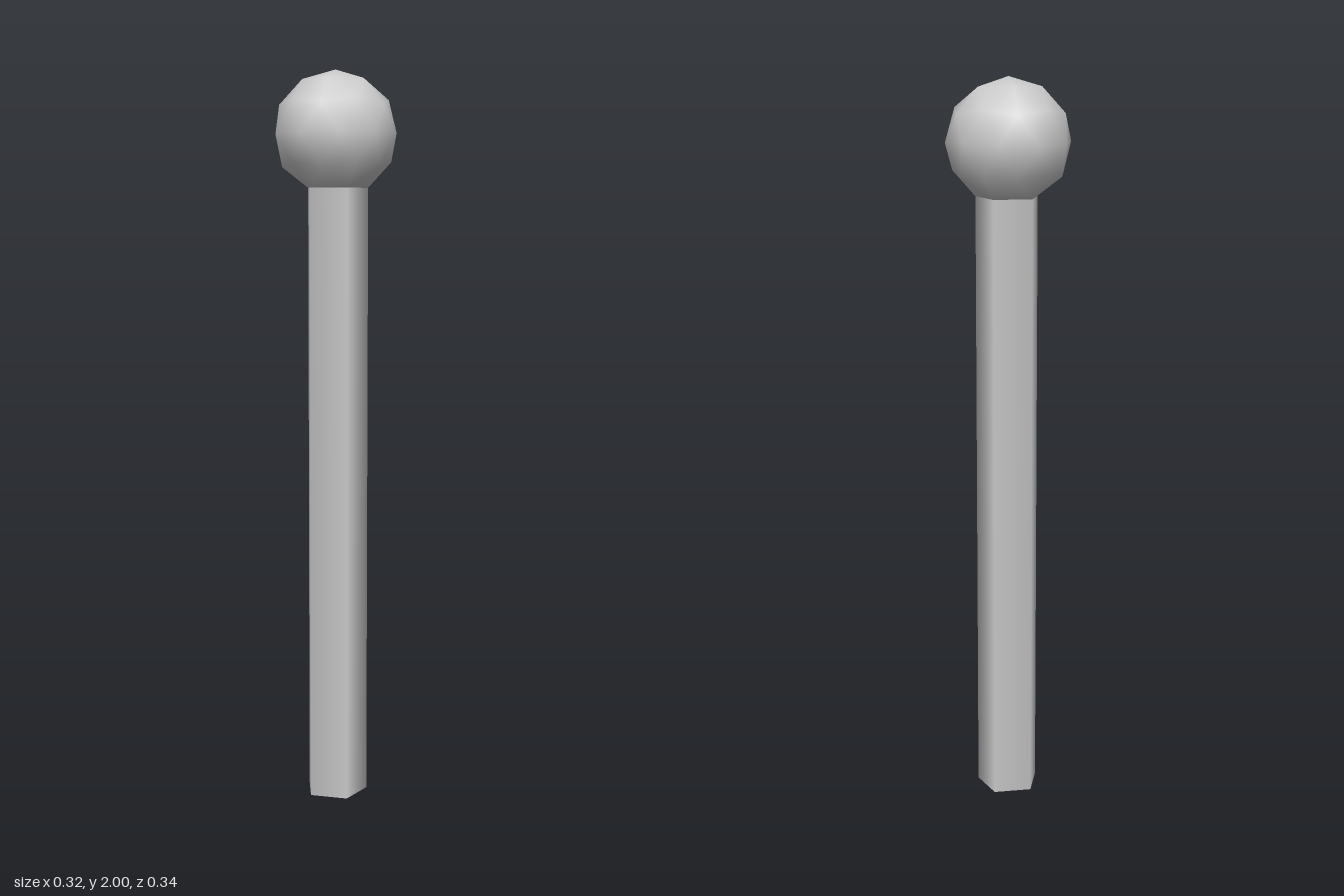
import * as THREE from 'three';

const R = 0.168;                 // ball radius
const CENTER_Y = 2 - R;          // ball touches y = 2
const RING_Y = -0.8507 * R;      // lowest ring of the ball, where the shaft begins
const RING_R = 0.5257 * R;

const material = () => new THREE.MeshStandardMaterial({ color: 0xcccccc, side: THREE.DoubleSide });

// Low-poly ball with a corner straight up, opened at the bottom for the shaft
function ballGeometry() {
  const ball = new THREE.IcosahedronGeometry(R, 1);
  ball.rotateZ(-Math.atan(2 / (1 + Math.sqrt(5))));
  const pos = ball.attributes.position;
  const keep = [];
  for (let i = 0; i < pos.count; i += 3) {
    const lowest = Math.min(pos.getY(i), pos.getY(i + 1), pos.getY(i + 2));
    if (lowest > -0.98 * R) keep.push(i, i + 1, i + 2);
  }
  ball.setIndex(keep);
  return ball;
}

export function createModel() {
  const model = new THREE.Group();
  model.name = 'ballToppedPole';

  const ball = new THREE.Mesh(ballGeometry(), material());
  ball.name = 'ball';
  ball.position.y = CENTER_Y;

  // Five-sided hollow shaft continuing the ball's lowest ring
  const height = CENTER_Y + RING_Y;
  const shaft = new THREE.Mesh(
    new THREE.CylinderGeometry(RING_R, RING_R, height, 5, 1, true, -Math.PI / 2), material());
  shaft.name = 'shaft';
  shaft.position.y = height / 2;

  model.add(ball, shaft);
  return model;
}
